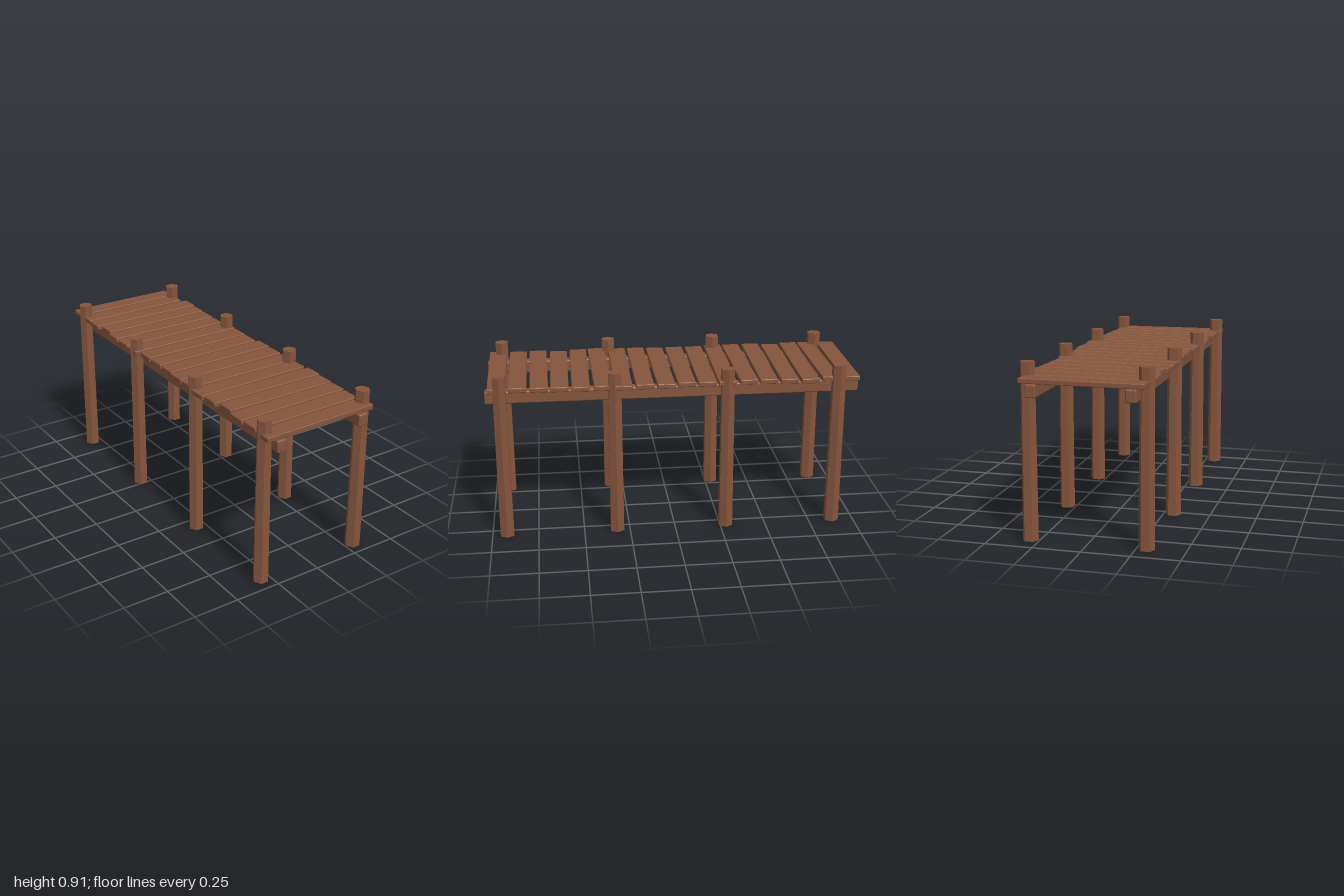
import * as THREE from 'three';
import { RoundedBoxGeometry } from 'three/addons/geometries/RoundedBoxGeometry.js';

// Uneven planks from back to front: left end, right end, slight yaw
const PLANKS = [
  [-0.32, 0.31, -0.008], [-0.325, 0.305, 0.004], [-0.33, 0.33, -0.016],
  [-0.31, 0.32, -0.012], [-0.33, 0.315, -0.012], [-0.33, 0.31, 0.004],
  [-0.335, 0.325, -0.014], [-0.315, 0.32, -0.004], [-0.315, 0.315, 0.004],
  [-0.315, 0.33, 0.008], [-0.325, 0.325, 0.004], [-0.325, 0.335, -0.008],
  [-0.34, 0.32, 0.012], [-0.33, 0.33, -0.008], [-0.31, 0.32, -0.008],
  [-0.33, 0.315, 0.008], [-0.325, 0.31, 0.004], [-0.335, 0.32, 0.01],
];

export function createModel() {
  const group = new THREE.Group();
  const wood = new THREE.MeshStandardMaterial({ color: 0x85553d });
  wood.name = 'brown wood';
  wood.flatShading = true;

  const add = (name, geometry, x, y, z) => {
    const mesh = new THREE.Mesh(geometry, wood);
    mesh.name = name;
    mesh.position.set(x, y, z);
    group.add(mesh);
    return mesh;
  };

  // Deck planks
  PLANKS.forEach(([x0, x1, yaw], i) => {
    const geometry = new RoundedBoxGeometry(x1 - x0, 0.027, 0.096, 2, 0.005);
    const z = -0.948 + i * 0.111;
    add('deckPlank', geometry, (x0 + x1) / 2, 0.832, z).rotation.y = yaw;
  });

  // Long beams under the deck
  const beam = new RoundedBoxGeometry(0.056, 0.067, 1.995, 2, 0.008);
  add('leftBeam', beam, 0.248, 0.783, 0.0025);
  add('rightBeam', beam, -0.252, 0.783, 0.0025);

  // Slightly tapered hexagonal posts, corners pointing sideways
  const post = new THREE.CylinderGeometry(0.039, 0.042, 0.91, 6);
  post.rotateY(Math.PI / 6);
  for (const z of [-0.88, -0.28, 0.32, 0.92]) {
    add('leftPost', post, 0.298, 0.455, z);
    add('rightPost', post, -0.303, 0.455, z);
  }
  return group;
}
